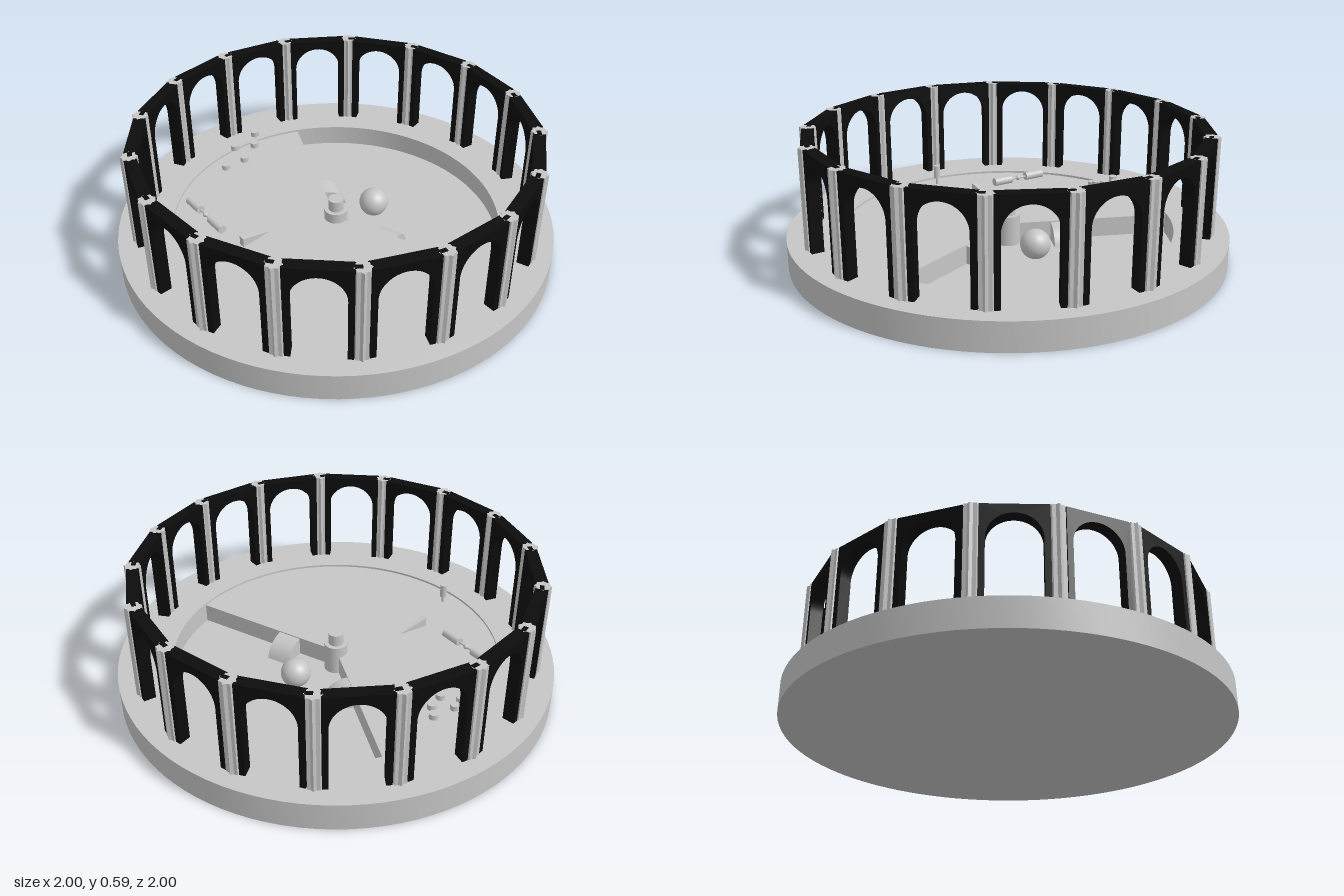
import * as THREE from 'three';
import { toCreasedNormals } from 'three/addons/utils/BufferGeometryUtils.js';

const stone = new THREE.MeshStandardMaterial({ color: 0xc6c6c6 });
stone.name = 'grey stone';
const black = new THREE.MeshStandardMaterial({ color: 0x0c0c0c });
black.name = 'black panel';

const RIM = 0.13, PIT = 0.03, FLOOR = 0.12, TOP = 0.585;
const COUNT = 17, RING = 0.895, STEP = (Math.PI * 2) / COUNT;

export function createModel() {
  const model = new THREE.Group();

  function add(name, geometry, material, x = 0, y = 0, z = 0, parent = model) {
    const mesh = new THREE.Mesh(geometry, material);
    mesh.name = name;
    mesh.position.set(x, y, z);
    parent.add(mesh);
    return mesh;
  }
  // Extrude a plan shape upwards
  function slab(shape, height, segments = 24) {
    const g = new THREE.ExtrudeGeometry(shape, { depth: height, bevelEnabled: false, curveSegments: segments });
    return toCreasedNormals(g.rotateX(-Math.PI / 2), 0.5);
  }
  const cyl = (r, h, n = 24) => new THREE.CylinderGeometry(r, r, h, n);

  // Round base: outer rim, sunken floor and raised sector
  const rim = new THREE.Shape().absarc(0, 0, 1, 0, Math.PI * 2, false);
  rim.holes.push(new THREE.Path().absarc(0, 0, 0.755, 0, Math.PI * 2, true));
  add('baseRim', slab(rim, RIM, 48), stone);
  add('pitFloor', cyl(0.757, PIT, 48), stone, 0, PIT / 2, 0);
  const edge = THREE.MathUtils.degToRad(67.5);
  const sector = new THREE.Shape().moveTo(0, 0);
  sector.absarc(0, 0, 0.756, edge, Math.PI * 2 - edge, false);
  sector.lineTo(0, 0);
  add('raisedFloor', slab(sector, FLOOR - PIT, 48), stone, 0, PIT, 0);

  // Colonnade: fluted pillars with arched panels between them
  const flute = [];
  for (let i = 0; i < 16; i++) {
    const a = (i / 16) * Math.PI * 2, r = i % 2 ? 0.03 : 0.038;
    flute.push(new THREE.Vector2(Math.cos(a) * r, Math.sin(a) * r));
  }
  const pillarGeo = slab(new THREE.Shape(flute), TOP - RIM);
  const half = RING * Math.sin(STEP / 2) - 0.027, r = 0.112, spring = 0.433;
  const arch = new THREE.Shape().moveTo(half, RIM).lineTo(half, TOP).lineTo(-half, TOP)
    .lineTo(-half, RIM).lineTo(-r, RIM).lineTo(-r, spring);
  arch.absarc(0, spring, r, Math.PI, 0, true);
  arch.lineTo(r, RIM);
  const archGeo = toCreasedNormals(new THREE.ExtrudeGeometry(arch, { depth: 0.055, bevelEnabled: false, curveSegments: 20 })
    .translate(0, 0, RING * Math.cos(STEP / 2) - 0.0275), 0.5);
  const colonnade = new THREE.Group();
  colonnade.name = 'colonnade';
  model.add(colonnade);
  for (let i = 0; i < COUNT; i++) {
    const bay = new THREE.Group();
    bay.name = 'bay';
    bay.rotation.y = Math.PI + i * STEP;
    colonnade.add(bay);
    add('pillar', pillarGeo, stone, 0, RIM, RING, bay);
    add('panelTongue', new THREE.BoxGeometry(0.032, 0.004, 0.02), black, -0.016, TOP, RING - 0.004, bay);
    add('archPanel', archGeo, black, 0, 0, 0, bay).rotation.y = STEP / 2;
  }

  // Central pedestal and ball in the pit
  add('pedestalBase', cyl(0.055, 0.14), stone, 0, 0.1, 0);
  add('pedestalTop', cyl(0.035, 0.055), stone, 0, 0.1975, 0);
  add('ball', new THREE.SphereGeometry(0.068, 32, 20), stone, 0.23, 0.1, 0);

  // Curved slides against the two pit walls
  const profile = new THREE.Shape().moveTo(0, 0).lineTo(0, 0.085);
  profile.quadraticCurveTo(0.085, 0.08, 0.108, 0);
  const slideGeo = toCreasedNormals(new THREE.ExtrudeGeometry(profile, { depth: 0.112, bevelEnabled: false, curveSegments: 10 })
    .translate(0, 0, -0.056), 0.5);
  for (const s of [-1, 1]) {
    const d = 0.257;
    const slide = add('slide', slideGeo, stone, Math.cos(edge) * d, PIT, s * Math.sin(edge) * d);
    slide.rotation.y = s * (Math.PI / 2 - edge);
  }

  // Twin rollers on a thin rod with a bead
  for (const z of [-0.457, -0.27]) {
    add('roller', cyl(0.02, 0.1), stone, -0.485, 0.143, z).rotation.x = Math.PI / 2;
  }
  add('rollerRod', cyl(0.005, 0.12, 10), stone, -0.485, 0.143, -0.363).rotation.x = Math.PI / 2;
  add('rollerBead', new THREE.SphereGeometry(0.013, 12, 8), stone, -0.485, 0.143, -0.363);

  // Tapered wedge lying on the floor
  const wedge = new THREE.BoxGeometry(0.145, 0.045, 0.03);
  const p = wedge.attributes.position;
  for (let i = 0; i < p.count; i++) {
    if (p.getX(i) > 0) p.setXYZ(i, p.getX(i), p.getY(i) * 0.1 - 0.015, p.getZ(i) * 0.1);
  }
  wedge.computeVertexNormals();
  add('wedge', wedge, stone, -0.393, 0.147, -0.09);

  // Small upright post on a stem
  add('postStem', cyl(0.006, 0.04, 10), stone, -0.68, 0.14, 0.01);
  add('post', cyl(0.016, 0.065, 16), stone, -0.68, 0.186, 0.01);

  // Floating pebbles: x, y, z
  const pebbles = [[-0.2, 0.145, -0.63], [-0.105, 0.19, -0.69], [0.025, 0.215, -0.7], [-0.022, 0.2, -0.637], [-0.115, 0.178, -0.59]];
  for (const [x, y, z] of pebbles) add('pebble', cyl(0.02, 0.025, 16), stone, x, y, z);

  return model;
}
